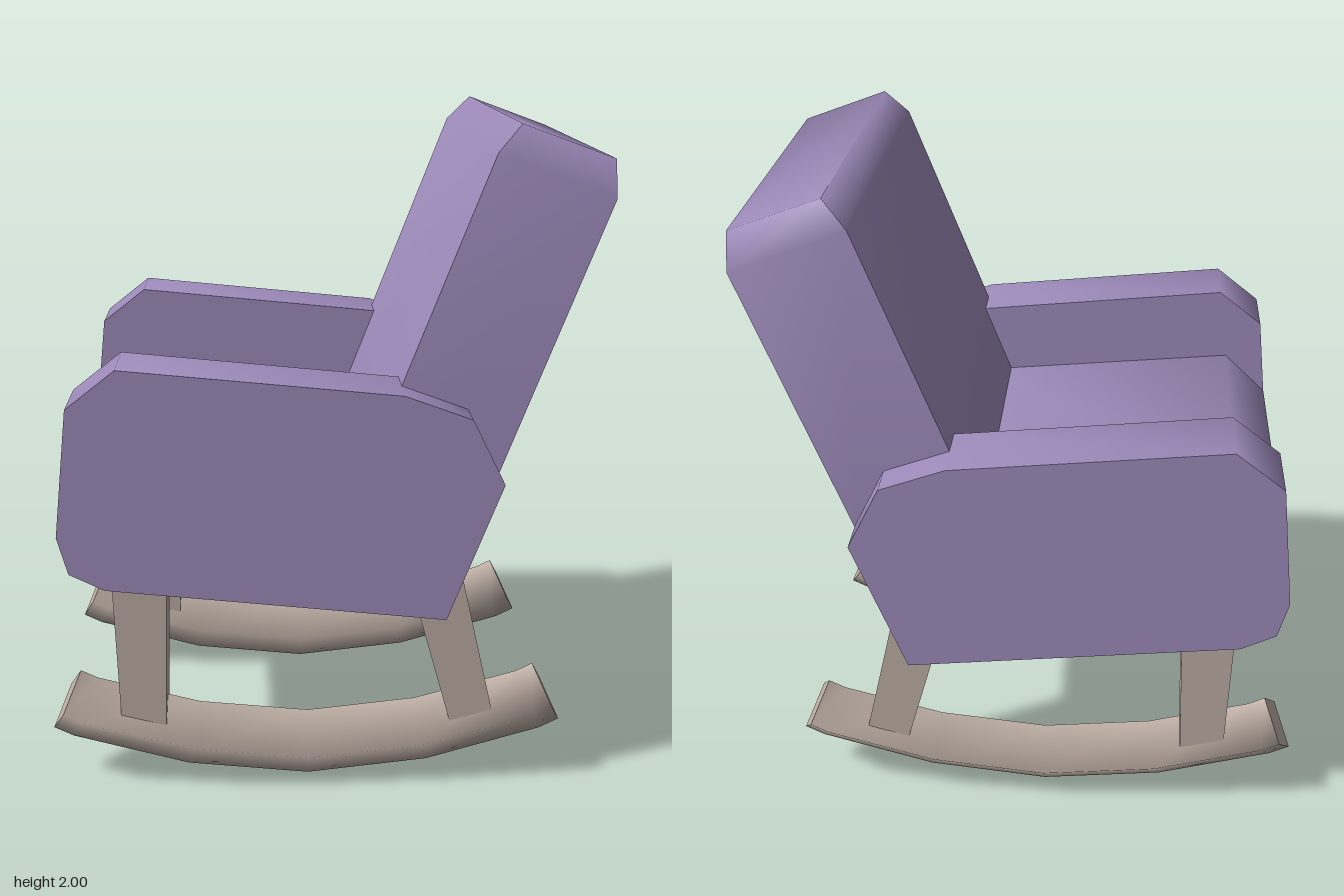
import * as THREE from 'three';
import { toCreasedNormals } from 'three/addons/utils/BufferGeometryUtils.js';

const CREASE = 1.4;

// Side profile (x, y) extruded between two z values
function slab(points, z0, z1) {
  const shape = new THREE.Shape(points.map(([x, y]) => new THREE.Vector2(x, y)));
  const geo = new THREE.ExtrudeGeometry(shape, { depth: z1 - z0, bevelEnabled: false });
  geo.translate(0, 0, z0);
  return toCreasedNormals(geo, CREASE);
}

// Box reshaped by levels from bottom to top: [front point, rear point, half width]
function taperedBox(levels, z = 0) {
  const n = levels.length - 1;
  const geo = new THREE.BoxGeometry(1, 1, 1, 1, n, 1);
  const p = geo.attributes.position;
  for (let i = 0; i < p.count; i++) {
    const [front, rear, half] = levels[Math.round((p.getY(i) + 0.5) * n)];
    const [x, y] = p.getX(i) < 0 ? front : rear;
    p.setXYZ(i, x, y, z + Math.sign(p.getZ(i)) * half);
  }
  return toCreasedNormals(geo, CREASE);
}

// Curved runner with a diamond section, smooth along its sides and flat at its ends
function runner(z) {
  const half = [[-0.78, 0.17, -0.69, 0.36], [-0.72, 0.14, -0.64, 0.335], [-0.37, 0.04, -0.33, 0.25]];
  const sections = [...half, [0, 0, 0, 0.215],
    ...half.map(([bx, by, tx, ty]) => [-bx, by, -tx, ty]).reverse()];
  const ring = ([bx, by, tx, ty]) => {
    const mx = (bx + tx) / 2 - 0.03, my = (by + ty) / 2;
    return [tx - 0.03, ty, z, mx, my, z + 0.107, bx - 0.03, by, z, mx, my, z - 0.107];
  };
  const pos = sections.flatMap(ring);
  const idx = [];
  for (let i = 0; i < sections.length - 1; i++) {
    for (let j = 0; j < 4; j++) {
      const a = i * 4 + j, b = i * 4 + (j + 1) % 4;
      idx.push(a, b, a + 4, b, b + 4, a + 4);
    }
  }
  const s = sections.length * 4, e = s + 4;
  pos.push(...ring(sections[0]), ...ring(sections[sections.length - 1]));
  idx.push(s, s + 2, s + 1, s, s + 3, s + 2, e, e + 1, e + 2, e, e + 2, e + 3);
  const geo = new THREE.BufferGeometry();
  geo.setAttribute('position', new THREE.Float32BufferAttribute(pos, 3));
  geo.setIndex(idx);
  geo.computeVertexNormals();
  return geo;
}

export function createModel() {
  const group = new THREE.Group();
  const fabric = new THREE.MeshStandardMaterial({ name: 'purpleFabric', color: 0x9d8aba });
  const wood = new THREE.MeshStandardMaterial({ name: 'paleWood', color: 0xbfb0a6 });
  const add = (name, geo, mat) => {
    const mesh = new THREE.Mesh(geo, mat);
    mesh.name = name;
    group.add(mesh);
  };

  // Seat and arms share the lower outline
  const base = [[-0.74, 0.88], [-0.71, 0.77], [-0.61, 0.72], [0.36, 0.615], [0.515, 1.02]];
  add('seat', slab([...base, [0.2, 1.055], [-0.59, 1.13], [-0.727, 1.0]], -0.455, 0.455), fabric);
  const armOutline = [...base, [0.42, 1.21], [0.23, 1.28], [-0.56, 1.36], [-0.70, 1.25]];
  add('armNear', slab(armOutline, 0.455, 0.67), fabric);
  add('armFar', slab(armOutline, -0.67, -0.455), fabric);

  // Reclined backrest with a bevelled top
  add('backrest', taperedBox([
    [[0.122, 1.0], [0.507, 1.0], 0.56],
    [[0.48, 1.925], [0.81, 1.80], 0.56],
    [[0.55, 2.0], [0.81, 1.905], 0.525],
  ]), fabric);

  // Legs and runners on both sides
  for (const [side, z] of [['Near', 0.428], ['Far', -0.428]]) {
    add('frontLeg' + side, taperedBox([
      [[-0.594, 0.18], [-0.461, 0.18], 0.069],
      [[-0.612, 0.80], [-0.443, 0.80], 0.084],
    ], z), wood);
    add('rearLeg' + side, taperedBox([
      [[0.41, 0.17], [0.54, 0.19], 0.069],
      [[0.24, 0.775], [0.397, 0.805], 0.084],
    ], z), wood);
    add('runner' + side, runner(z), wood);
  }
  return group;
}
